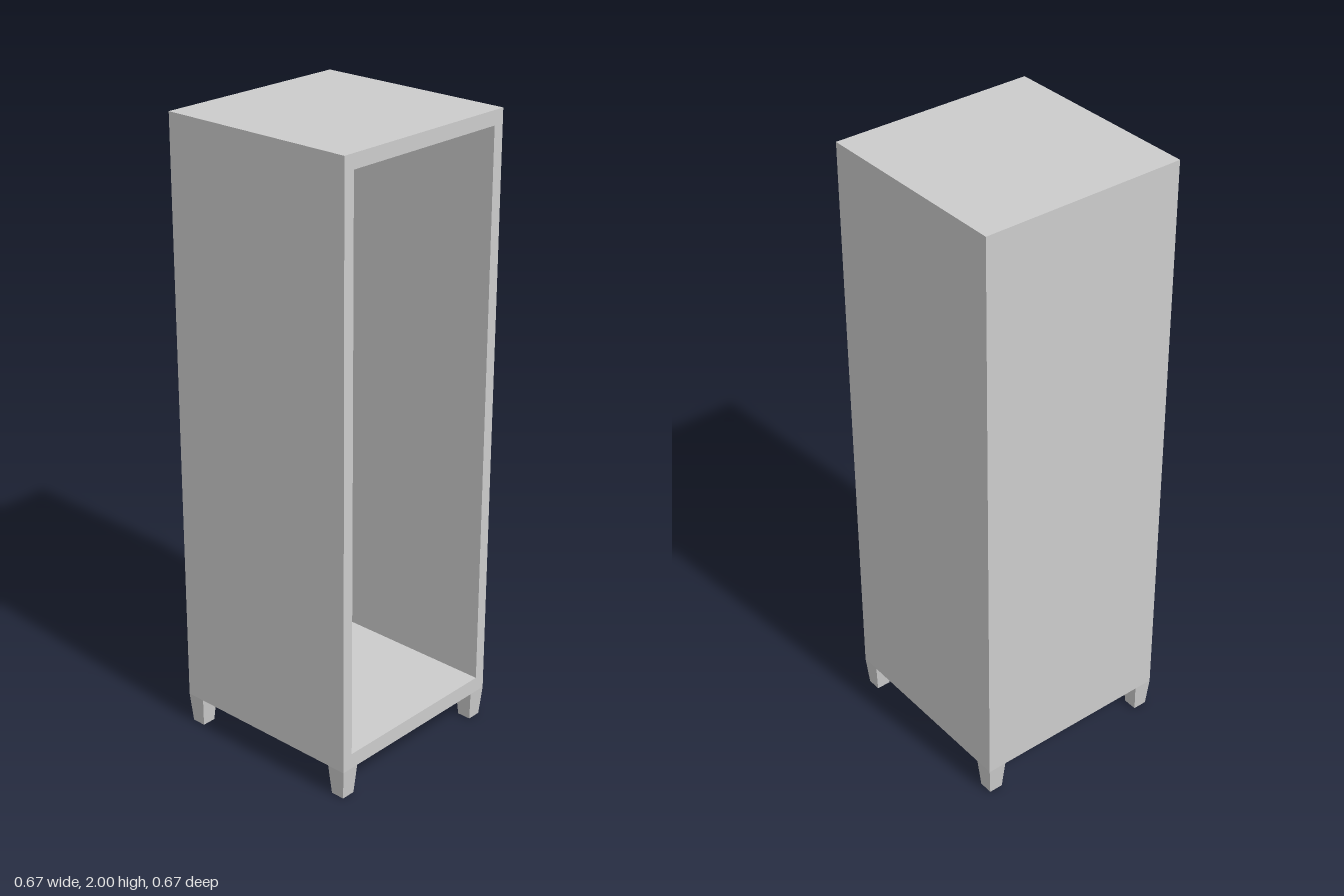
import * as THREE from 'three';

const HALF = 0.333;    // half width and depth
const WALL = 0.037;    // side and back panel thickness
const BASE = 0.098;    // underside of the cabinet
const TOP = 2;

function rectangle(Type, x0, y0, x1, y1) {
  const r = new Type();
  r.moveTo(x0, y0);
  r.lineTo(x1, y0);
  r.lineTo(x1, y1);
  r.lineTo(x0, y1);
  r.closePath();
  return r;
}

export function createModel() {
  const group = new THREE.Group();
  const grey = new THREE.MeshStandardMaterial({ color: 0xcccccc });
  grey.name = 'light grey';

  const add = (name, geometry) => {
    const mesh = new THREE.Mesh(geometry, grey);
    mesh.name = name;
    group.add(mesh);
    return mesh;
  };

  // Four-sided carcass, open towards +x
  const outline = rectangle(THREE.Shape, -HALF, BASE, HALF, TOP);
  const inner = HALF - WALL;
  outline.holes.push(rectangle(THREE.Path, -inner, 0.148, inner, 1.955));
  const carcass = new THREE.ExtrudeGeometry(outline, { depth: 2 * HALF - WALL, bevelEnabled: false });
  carcass.rotateY(Math.PI / 2);
  carcass.translate(-HALF + WALL, 0, 0);
  add('carcass', carcass);

  // Panel closing the far side
  const panel = new THREE.BoxGeometry(WALL, TOP - BASE, 2 * HALF);
  panel.translate(-HALF + WALL / 2, (TOP + BASE) / 2, 0);
  add('backPanel', panel);

  // Short tapered feet, flush with the corners at the top
  const topSize = 0.062, bottomSize = 0.046;
  for (const sx of [-1, 1]) {
    for (const sz of [-1, 1]) {
      const foot = new THREE.BoxGeometry(topSize, BASE, topSize);
      const p = foot.attributes.position;
      for (let i = 0; i < p.count; i++) {
        if (p.getY(i) > 0) continue;
        p.setX(i, p.getX(i) * bottomSize / topSize);
        p.setZ(i, p.getZ(i) * bottomSize / topSize);
      }
      foot.computeVertexNormals();
      foot.translate(sx * (HALF - topSize / 2), BASE / 2, sz * (HALF - topSize / 2));
      add((sz > 0 ? 'front' : 'rear') + (sx > 0 ? 'Left' : 'Right') + 'Foot', foot);
    }
  }
  return group;
}
